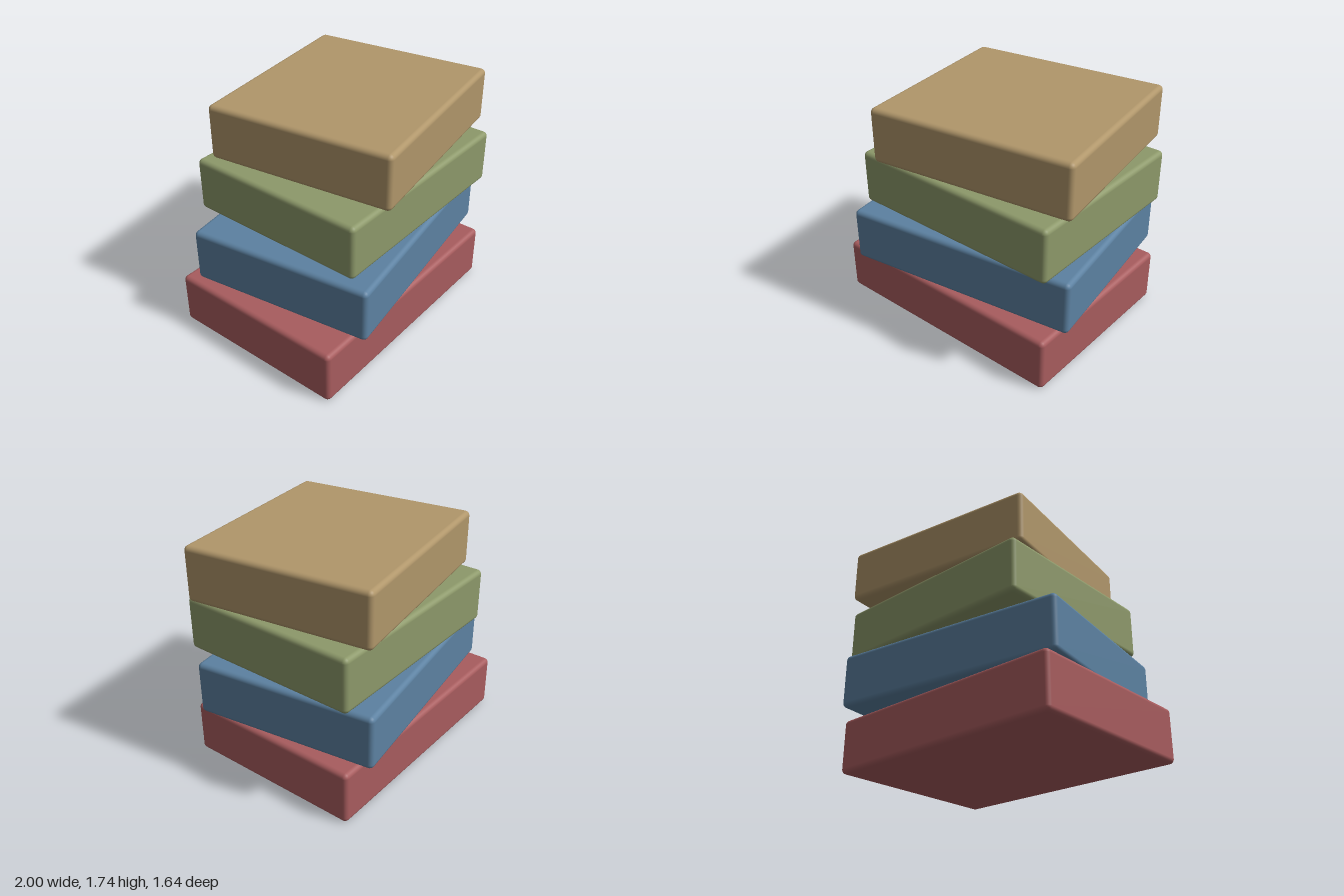
import * as THREE from 'three';
import { RoundedBoxGeometry } from 'three/addons/geometries/RoundedBoxGeometry.js';

const HEIGHT = 0.406, DEPTH = 1.397, PITCH = 0.4445, RADIUS = 0.035;

function material(name, color) {
  const m = new THREE.MeshStandardMaterial({ color });
  m.name = name;
  return m;
}

export function createModel() {
  const group = new THREE.Group();
  group.name = 'slabStack';

  // Slabs from bottom to top: each is narrower, and every other one is turned
  const slabs = [
    ['bottomSlab', material('dusty red', 0xa85c5e)],
    ['lowerMiddleSlab', material('slate blue', 0x5c81a1)],
    ['upperMiddleSlab', material('sage green', 0x8d996a)],
    ['topSlab', material('tan', 0xb0966a)],
  ];
  slabs.forEach(([name, mat], i) => {
    const width = 1.905 - i * 0.127;
    const slab = new THREE.Mesh(new RoundedBoxGeometry(width, HEIGHT, DEPTH, 3, RADIUS), mat);
    slab.name = name;
    slab.position.set(-0.0475 + i * 0.0635, HEIGHT / 2 + i * PITCH, 0);
    slab.rotation.y = i % 2 ? 0.15 : 0;
    group.add(slab);
  });
  return group;
}
